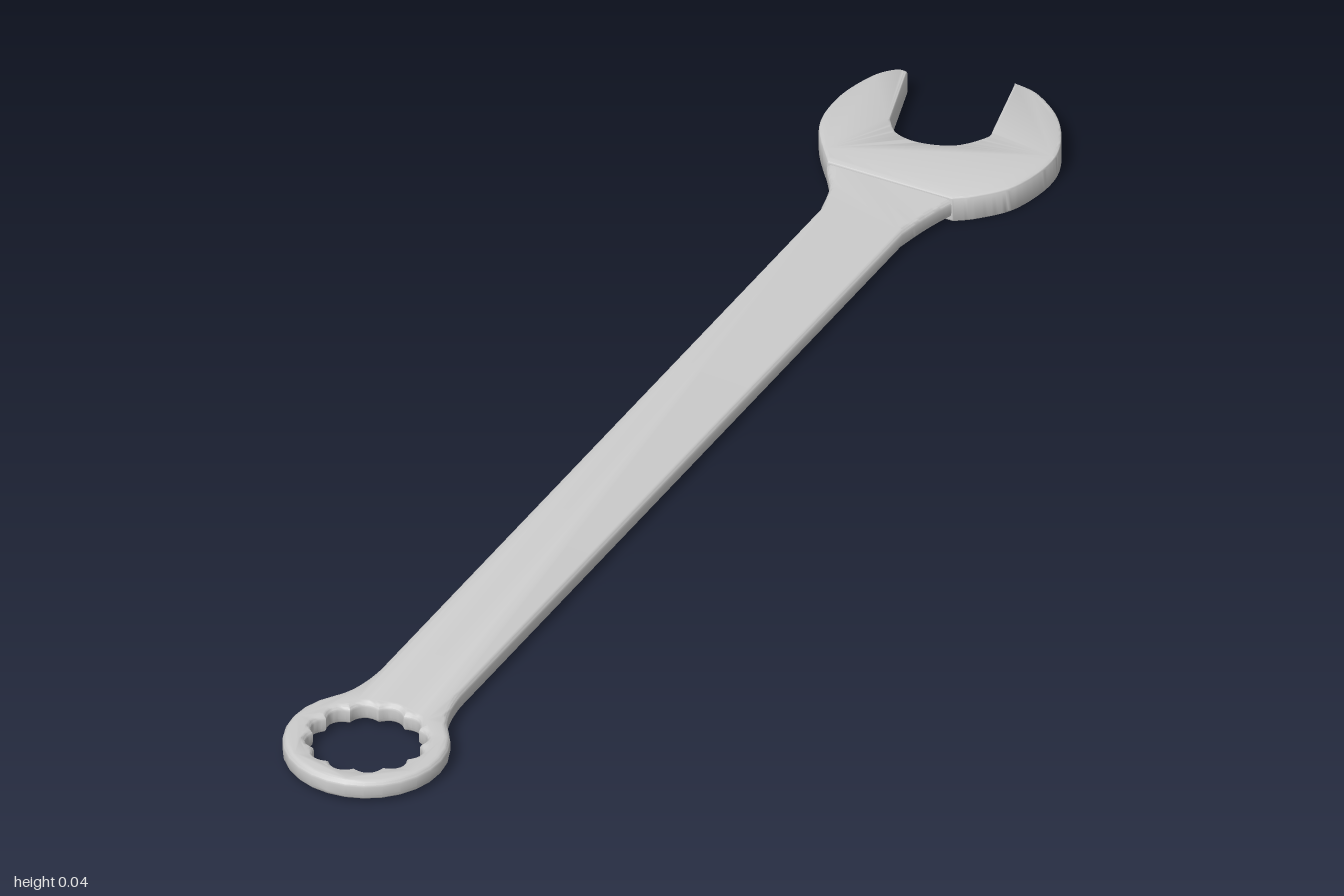
import * as THREE from 'three';
import { toCreasedNormals } from 'three/addons/utils/BufferGeometryUtils.js';

const v = (x, z) => new THREE.Vector2(x, -z); // plan position to shape space

// Flat plate with rounded rims, lying between heights y0 and y1
function plate(name, shape, y0, y1, round, material) {
  const geometry = new THREE.ExtrudeGeometry(shape, {
    depth: y1 - y0 - 2 * round, bevelEnabled: true, bevelThickness: round,
    bevelSize: round, bevelOffset: -round, bevelSegments: 4, curveSegments: 10,
  });
  geometry.rotateX(-Math.PI / 2);
  geometry.translate(0, y0 + round, 0);
  const mesh = new THREE.Mesh(toCreasedNormals(geometry, 0.6), material);
  mesh.name = name;
  return mesh;
}

// Shank flaring into the closed ring at the front and the jaw at the back
function shankShape() {
  const ringZ = 0.882, ringR = 0.118, half = 0.065;
  const a = THREE.MathUtils.degToRad(40);
  const rx = ringR * Math.cos(a), rz = ringZ - ringR * Math.sin(a);
  const s = new THREE.Shape();
  s.moveTo(-0.12, 0.74);
  s.splineThru([v(-0.108, -0.7), v(-0.08, -0.655), v(-half, -0.6)]);
  s.lineTo(-half, -0.72);
  s.quadraticCurveTo(-0.069, -0.781, -rx, -rz);
  s.absarc(0, -ringZ, ringR, Math.PI - a, 2 * Math.PI + a, false);
  s.quadraticCurveTo(0.069, -0.781, half, -0.72);
  s.lineTo(half, 0.6);
  s.splineThru([v(0.075, -0.65), v(0.09, -0.7), v(0.11, -0.74)]);
  s.closePath();

  // Twelve-point socket opening
  const points = [];
  for (let i = 0; i < 96; i++) {
    const t = (i / 96) * Math.PI * 2;
    const r = 0.077 + 0.009 * Math.abs(Math.cos(6 * t));
    points.push(v(r * Math.cos(t), ringZ + r * Math.sin(t)));
  }
  s.holes.push(new THREE.Path(points));
  return s;
}

// Open jaw with a tilted slot
function jawShape() {
  const s = new THREE.Shape();
  s.moveTo(-0.107, 0.7);
  s.lineTo(0.092, 0.7);
  s.splineThru([v(0.12, -0.722), v(0.155, -0.767), v(0.171, -0.835), v(0.163, -0.89),
    v(0.127, -0.95), v(0.075, -0.99), v(0.032, -1)]);
  s.lineTo(0.06, 0.88);
  s.splineThru([v(0.061, -0.86), v(0.032, -0.822), v(-0.015, -0.805), v(-0.055, -0.811),
    v(-0.08, -0.838)]);
  s.lineTo(-0.115, 0.955);
  s.splineThru([v(-0.132, -0.952), v(-0.155, -0.92), v(-0.171, -0.85), v(-0.16, -0.775),
    v(-0.107, -0.7)]);
  return s;
}

export function createModel() {
  const group = new THREE.Group();
  group.name = 'combinationWrench';
  const material = new THREE.MeshStandardMaterial({ color: 0xcccccc });
  group.add(plate('shankAndRing', shankShape(), 0.006, 0.037, 0.009, material));
  group.add(plate('openJaw', jawShape(), 0, 0.042, 0.005, material));
  return group;
}
